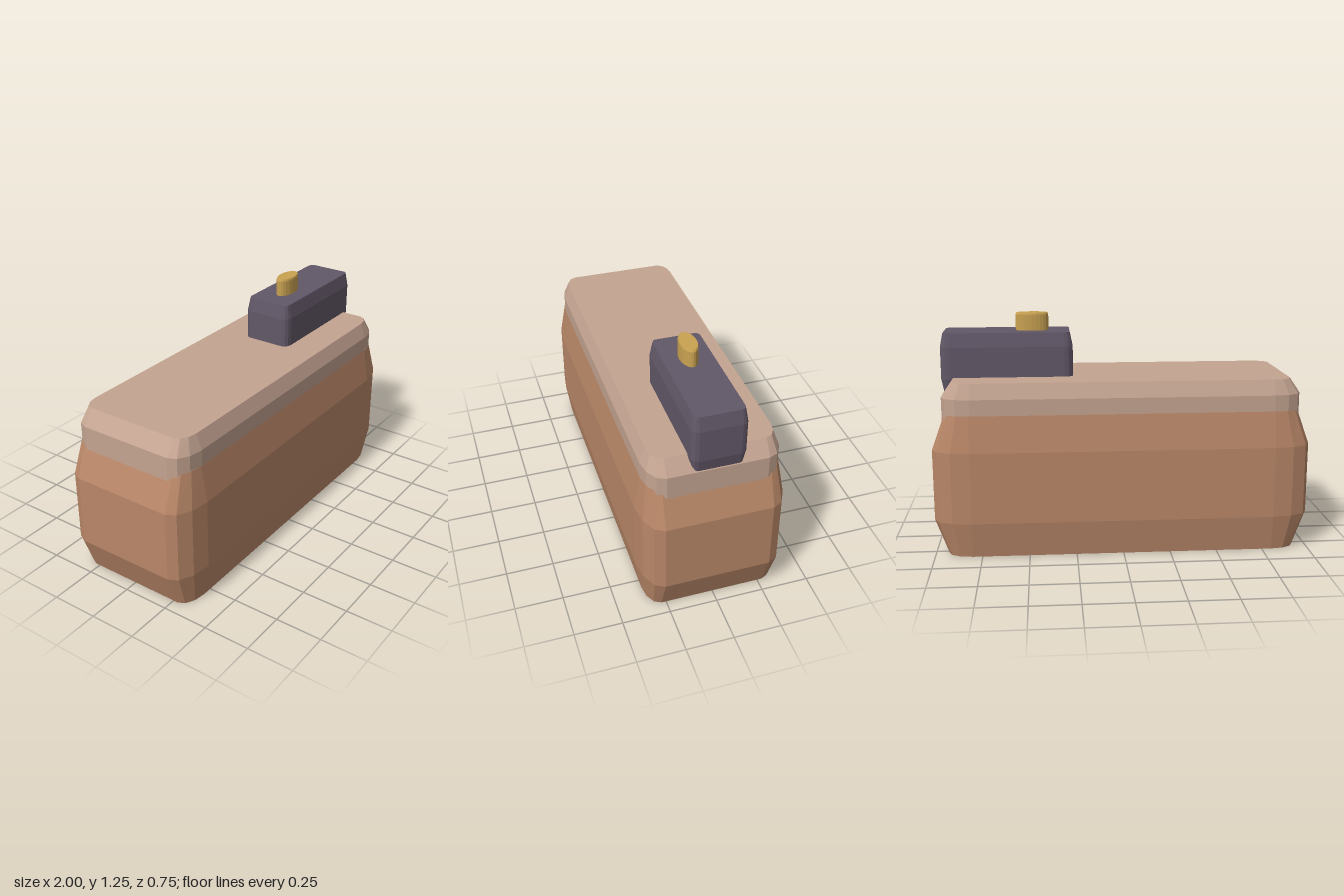
import * as THREE from 'three';

const mat = (name, color) => Object.assign(new THREE.MeshStandardMaterial({ color }), { name });

// Closed loft of rounded rectangles. cx, cz: corner centres; sections: [y, corner radius x, corner radius z].
function roundedLoft(cx, cz, sections, steps = 3) {
  const rings = sections.map(([y, rx, rz]) => {
    const ring = [];
    for (let q = 0; q < 4; q++) {
      const sx = q === 0 || q === 3 ? 1 : -1;
      const sz = q < 2 ? 1 : -1;
      for (let i = 0; i <= steps; i++) {
        const a = (q + i / steps) * Math.PI / 2;
        ring.push([sx * cx + rx * Math.cos(a), y, sz * cz + rz * Math.sin(a)]);
      }
    }
    return ring;
  });
  const pos = [];
  const tri = (a, b, c) => pos.push(...a, ...b, ...c);
  const n = rings[0].length;
  const bottom = rings[0], top = rings[rings.length - 1];
  for (let i = 0; i < n; i++) {
    const j = (i + 1) % n;
    for (let k = 0; k < rings.length - 1; k++) {
      const lo = rings[k], up = rings[k + 1];
      tri(lo[i], up[i], lo[j]);
      tri(up[i], up[j], lo[j]);
    }
    tri([0, bottom[0][1], 0], bottom[i], bottom[j]);
    tri([0, top[0][1], 0], top[j], top[i]);
  }
  const geo = new THREE.BufferGeometry();
  geo.setAttribute('position', new THREE.Float32BufferAttribute(pos, 3));
  geo.computeVertexNormals();
  return geo;
}

export function createModel() {
  const model = new THREE.Group();
  const add = (name, geo, material, x = 0) => {
    const mesh = new THREE.Mesh(geo, material);
    mesh.name = name;
    mesh.position.x = x;
    model.add(mesh);
  };

  // Main body, tapered at foot and shoulder
  add('body', roundedLoft(0.8, 0.275, [
    [0, 0.13, 0.07], [0.19, 0.2, 0.1], [0.57, 0.2, 0.1], [0.76, 0.13, 0.07],
  ]), mat('tan body', 0xb98768));

  // Lid with a bevelled top edge
  add('lid', roundedLoft(0.795, 0.255, [
    [0.69, 0.15, 0.09], [0.845, 0.15, 0.09], [0.925, 0.095, 0.06],
  ]), mat('pale lid', 0xc4a491));

  // Block at the left end of the lid
  add('topBlock', roundedLoft(0.305, 0.105, [
    [0.84, 0.03, 0.02], [0.915, 0.045, 0.035], [1.085, 0.045, 0.035], [1.16, 0.03, 0.02],
  ]), mat('dark purple block', 0x625868), 0.605);

  // Oval button
  const profile = [[0, 1.14], [0.088, 1.14], [0.088, 1.245], [0.082, 1.255], [0, 1.255]]
    .map(([r, y]) => new THREE.Vector2(r, y));
  const button = new THREE.LatheGeometry(profile, 24).toNonIndexed();
  button.scale(1, 1, 0.51);
  button.computeVertexNormals();
  add('button', button, mat('gold button', 0xc9a252), 0.47);

  return model;
}
